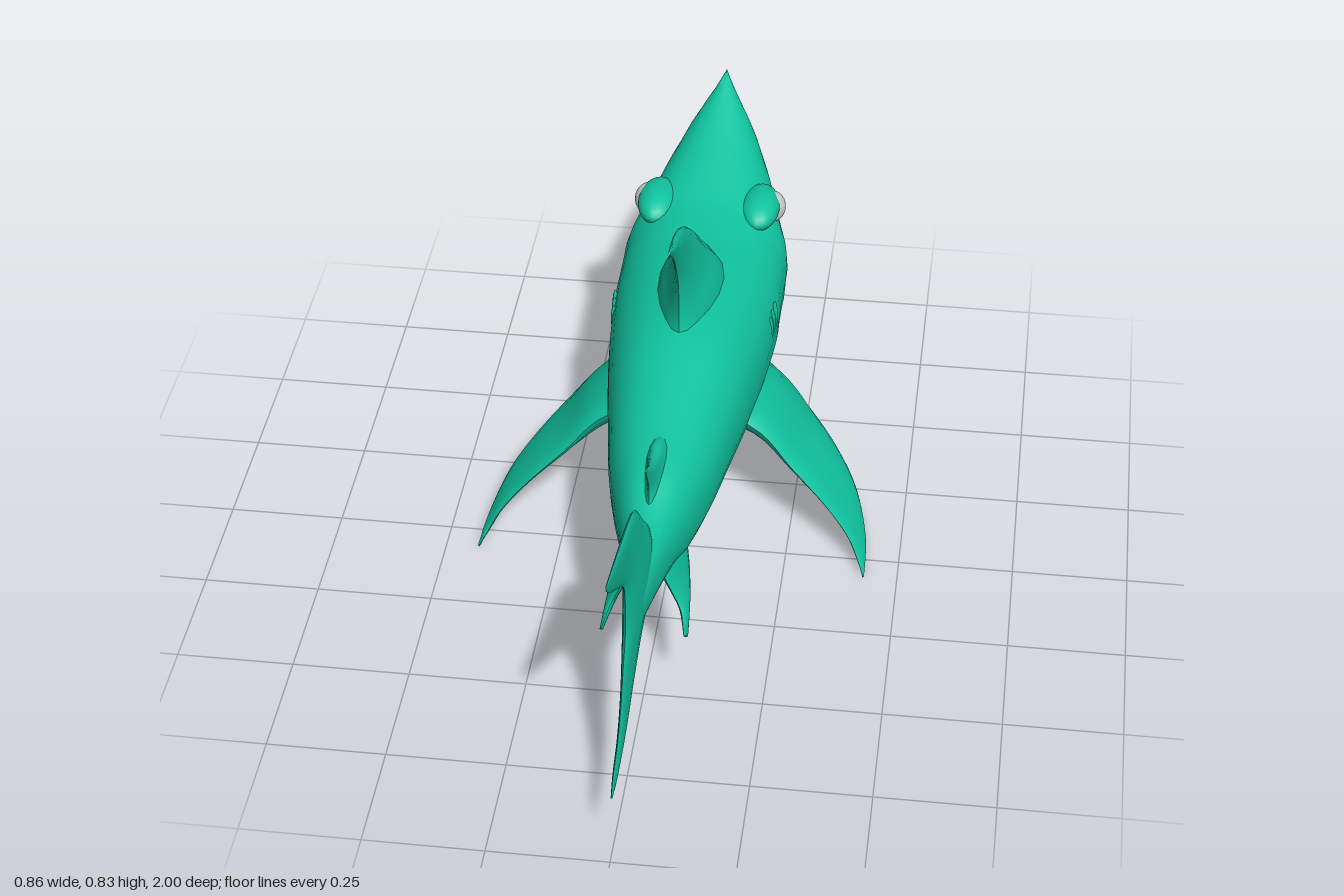
import * as THREE from 'three';
import { toCreasedNormals } from 'three/addons/utils/BufferGeometryUtils.js';

const skin = new THREE.MeshStandardMaterial({ color: 0x10c4a0 });
const grey = new THREE.MeshStandardMaterial({ color: 0xcccccc });

// Catmull-Rom resampling of rows of numbers
function smooth(rows, sub = 4) {
  const out = [], last = rows.length - 1;
  for (let i = 0; i < last; i++) {
    const [a, b, c, d] = [rows[Math.max(i - 1, 0)], rows[i], rows[i + 1], rows[Math.min(i + 2, last)]];
    for (let s = 0; s < sub; s++) {
      const t = s / sub;
      out.push(b.map((v, k) => v + 0.5 * t * (c[k] - a[k]
        + t * (2 * a[k] - 5 * v + 4 * c[k] - d[k] + t * (3 * (v - c[k]) + d[k] - a[k])))));
    }
  }
  out.push(rows[last]);
  return out;
}

// Closed skin over a list of rings, capped at both ends and turned outward
function loft(rings, crease = 0.9) {
  const n = rings[0].length, pts = rings.flat(), idx = [];
  for (let i = 0; i < rings.length - 1; i++) {
    for (let j = 0; j < n; j++) {
      const a = i * n + j, b = i * n + (j + 1) % n;
      idx.push(a, b, a + n, b, b + n, a + n);
    }
  }
  const end = (rings.length - 1) * n;
  for (let j = 1; j < n - 1; j++) idx.push(0, j + 1, j, end, end + j, end + j + 1);
  let volume = 0;
  const cross = new THREE.Vector3();
  for (let i = 0; i < idx.length; i += 3) {
    volume += pts[idx[i]].dot(cross.crossVectors(pts[idx[i + 1]], pts[idx[i + 2]]));
  }
  if (volume < 0) idx.reverse();
  const g = new THREE.BufferGeometry().setFromPoints(pts);
  g.setIndex(idx);
  return toCreasedNormals(g, crease);
}

// Body section: [z, halfWidth, top, widest height, bottom]
function section([z, w, top, mid, bottom], n = 32) {
  return Array.from({ length: n }, (_, j) => {
    const a = (j / n) * Math.PI * 2, c = Math.cos(a), s = Math.sin(a);
    const x = w * Math.sign(c) * Math.abs(c) ** 0.9;
    const y = mid + (s > 0 ? top - mid : mid - bottom) * Math.sign(s) * Math.abs(s) ** 0.9;
    return new THREE.Vector3(x, y, z);
  });
}

// Fin station: [lead x, y, z, trail x, y, z, half thickness]
function fin(rows, n = 16) {
  const lead = r => new THREE.Vector3(r[0], r[1], r[2]);
  const trail = r => new THREE.Vector3(r[3], r[4], r[5]);
  const mid = r => lead(r).lerp(trail(r), 0.5);
  const root = rows[0], span = mid(rows[rows.length - 1]).sub(mid(root));
  const normal = trail(root).sub(lead(root)).cross(span).normalize();
  return loft(smooth(rows).map(r => Array.from({ length: n }, (_, j) => {
    const a = (j / n) * Math.PI * 2;
    return lead(r).lerp(trail(r), (1 - Math.cos(a)) / 2)
      .addScaledVector(normal, r[6] * Math.sin(a) * (0.8 + 0.25 * Math.cos(a)));
  })), 1.0);
}

// Fin standing on the centre plane: [lead z, y, trail z, y, half thickness]
const midFin = rows => fin(rows.map(([lz, ly, tz, ty, t]) => [0, ly, lz, 0, ty, tz, t]));
const mirrorX = (rows, s) => rows.map(r => r.map((v, k) => (k === 0 || k === 3 ? v * s : v)));

// Linear lookup of a section at z
function at(rows, z) {
  const i = Math.max(1, rows.findIndex(r => r[0] >= z));
  const a = rows[i - 1], b = rows[i], t = (z - a[0]) / (b[0] - a[0]);
  return a.map((v, k) => v + (b[k] - v) * t);
}

export function createModel() {
  const model = new THREE.Group();
  const add = (name, geometry, material = skin) => {
    const m = new THREE.Mesh(geometry, material);
    m.name = name;
    model.add(m);
    return m;
  };

  // Trunk, from the back of the mouth to the tail root
  const trunk = smooth([
    [-0.57, 0.188, 0.522, 0.36, 0.155], [-0.48, 0.187, 0.518, 0.36, 0.145], [-0.4, 0.187, 0.522, 0.35, 0.14],
    [-0.25, 0.176, 0.528, 0.35, 0.152], [-0.1, 0.158, 0.528, 0.35, 0.168], [0.05, 0.136, 0.505, 0.35, 0.19],
    [0.2, 0.113, 0.482, 0.35, 0.208], [0.32, 0.086, 0.468, 0.35, 0.225], [0.42, 0.06, 0.44, 0.355, 0.265],
    [0.52, 0.04, 0.43, 0.36, 0.285], [0.62, 0.024, 0.42, 0.37, 0.31], [0.72, 0.008, 0.4, 0.38, 0.35],
  ]);
  add('trunk', loft(trunk.map(r => section(r))));

  // Head above the mouth and lower jaw
  const upper = smooth([
    [-1, 0.004, 0.645, 0.6, 0.585], [-0.975, 0.032, 0.638, 0.5, 0.485], [-0.935, 0.07, 0.622, 0.445, 0.432],
    [-0.89, 0.1, 0.605, 0.418, 0.405], [-0.8, 0.134, 0.575, 0.405, 0.39], [-0.7, 0.162, 0.548, 0.39, 0.375],
    [-0.62, 0.185, 0.528, 0.372, 0.358], [-0.56, 0.188, 0.521, 0.36, 0.34], [-0.48, 0.18, 0.515, 0.36, 0.33],
  ]);
  add('upperHead', loft(upper.map(r => section(r)), 0.8));
  const jaw = smooth([
    [-0.865, 0.045, 0.292, 0.285, 0.262], [-0.84, 0.078, 0.3, 0.292, 0.245], [-0.78, 0.115, 0.308, 0.3, 0.212],
    [-0.7, 0.15, 0.322, 0.312, 0.183], [-0.62, 0.178, 0.345, 0.332, 0.163], [-0.56, 0.188, 0.37, 0.355, 0.153],
    [-0.48, 0.18, 0.37, 0.355, 0.147],
  ]);
  add('lowerJaw', loft(jaw.map(r => section(r)), 0.8));

  // Teeth along both lips
  const tooth = (name, x, y, z, h, up) => {
    const m = add(name, new THREE.ConeGeometry(h * 0.36, h, 6));
    m.position.set(x, y + up * h * 0.38, z);
    if (up < 0) m.rotation.x = Math.PI;
  };
  for (const s of [-1, 1]) {
    for (let i = 0; i < 8; i++) {
      const z = -0.9 + i * 0.037, u = at(upper, z);
      tooth('upperTooth', s * u[1] * 0.92, u[3], z, 0.062 - i * 0.004, -1);
    }
    for (let i = 0; i < 7; i++) {
      const z = -0.85 + i * 0.037, l = at(jaw, z);
      tooth('lowerTooth', s * l[1] * 0.9, l[3], z, 0.066 - i * 0.005, 1);
    }
    tooth('frontUpperTooth', s * 0.03, 0.44, -0.93, 0.055, -1);
    tooth('frontLowerTooth', s * 0.02, 0.287, -0.852, 0.055, 1);
  }

  // Fins on the centre plane
  add('dorsalFin', midFin([
    [-0.48, 0.47, -0.06, 0.45, 0.1], [-0.41, 0.545, -0.09, 0.53, 0.078], [-0.34, 0.61, -0.092, 0.59, 0.048],
    [-0.25, 0.69, -0.08, 0.655, 0.027], [-0.14, 0.765, -0.045, 0.72, 0.017], [-0.03, 0.812, 0.005, 0.78, 0.01],
    [0.066, 0.838, 0.07, 0.834, 0.003],
  ]));
  add('secondDorsalFin', midFin([
    [0.18, 0.46, 0.42, 0.41, 0.035], [0.25, 0.492, 0.4, 0.46, 0.02], [0.35, 0.515, 0.405, 0.495, 0.01],
    [0.44, 0.562, 0.445, 0.557, 0.002],
  ]));
  add('tailFin', midFin([
    [0.995, 0.714, 1, 0.708, 0.002], [0.82, 0.665, 0.94, 0.655, 0.006], [0.63, 0.605, 0.83, 0.575, 0.011],
    [0.53, 0.51, 0.762, 0.515, 0.018], [0.45, 0.42, 0.75, 0.43, 0.028], [0.46, 0.34, 0.758, 0.385, 0.028],
    [0.56, 0.28, 0.79, 0.335, 0.019], [0.66, 0.232, 0.825, 0.27, 0.013], [0.78, 0.178, 0.875, 0.215, 0.009],
    [0.9, 0.153, 0.935, 0.19, 0.006], [0.965, 0.152, 0.972, 0.16, 0.002],
  ]));

  // Paired fins, eyes and gills
  const pectoral = [
    [0.09, 0.19, -0.46, 0.08, 0.34, -0.08, 0.1], [0.19, 0.16, -0.42, 0.18, 0.275, -0.088, 0.062],
    [0.26, 0.13, -0.375, 0.25, 0.2, -0.07, 0.035], [0.33, 0.085, -0.305, 0.33, 0.13, -0.035, 0.022],
    [0.385, 0.045, -0.21, 0.385, 0.075, 0, 0.016], [0.418, 0.016, -0.08, 0.412, 0.036, 0.035, 0.01],
    [0.427, 0.018, 0.065, 0.426, 0.024, 0.072, 0.003],
  ];
  const pelvic = [
    [0.035, 0.275, 0.24, 0.035, 0.31, 0.46, 0.035], [0.06, 0.235, 0.3, 0.056, 0.255, 0.455, 0.022],
    [0.078, 0.198, 0.39, 0.075, 0.215, 0.465, 0.013], [0.09, 0.168, 0.485, 0.086, 0.195, 0.515, 0.004],
  ];
  for (const s of [-1, 1]) {
    const side = s > 0 ? 'left' : 'right';
    add(side + 'PectoralFin', fin(mirrorX(pectoral, s)));
    add(side + 'PelvicFin', fin(mirrorX(pelvic, s)));

    const brow = add(side + 'Brow', new THREE.SphereGeometry(1, 20, 14));
    brow.scale.set(0.045, 0.035, 0.085);
    brow.position.set(s * 0.118, 0.498, -0.645);
    const eye = add(side + 'Eye', new THREE.SphereGeometry(0.037, 20, 14), grey);
    eye.scale.set(0.85, 0.95, 1.05);
    eye.position.set(s * 0.143, 0.485, -0.672);

    for (let i = 0; i < 3; i++) {
      const gill = add(side + 'Gill', new THREE.SphereGeometry(1, 8, 10));
      gill.scale.set(0.007, 0.045 - i * 0.004, 0.005);
      gill.position.set(s * (0.18 - i * 0.002), 0.38, -0.38 + i * 0.026);
    }
  }
  return model;
}
